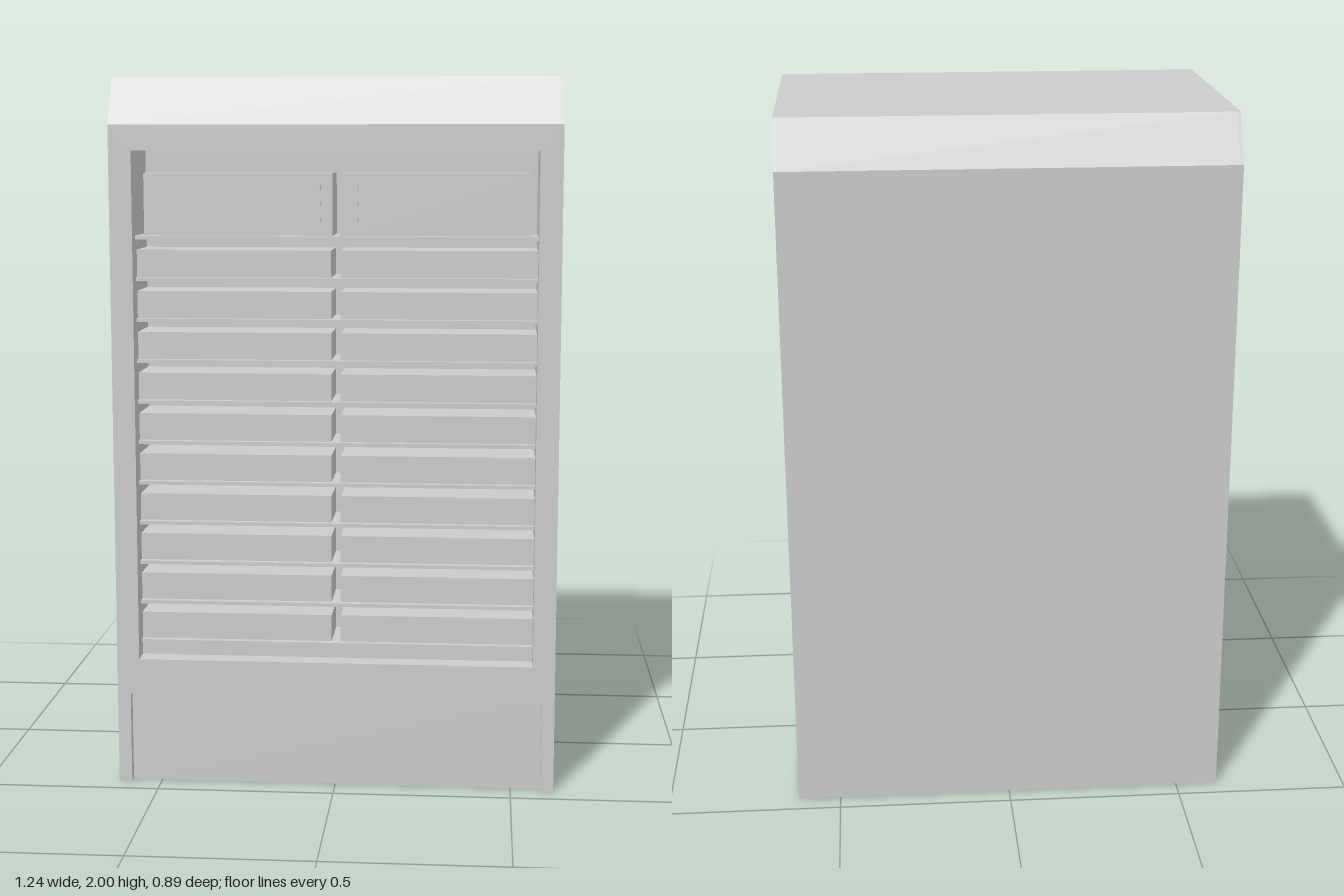
import * as THREE from 'three';

const W = 0.622, D = 0.443, T = 0.01;      // half width, half depth, sheet thickness
const OPEN_X = 0.559, OPEN_Y0 = 0.363, OPEN_Y1 = 1.8;
const mat = new THREE.MeshStandardMaterial({ color: 0xcccccc, flatShading: true });

export function createModel() {
  const model = new THREE.Group();
  model.name = 'drawerCabinet';

  const add = (name, geo, x = 0, y = 0, z = 0) => {
    const mesh = new THREE.Mesh(geo, mat);
    mesh.name = name;
    mesh.position.set(x, y, z);
    model.add(mesh);
    return mesh;
  };
  // Box given by its limits on each axis
  const box = (name, x0, x1, y0, y1, z0, z1) =>
    add(name, new THREE.BoxGeometry(x1 - x0, y1 - y0, z1 - z0),
      (x0 + x1) / 2, (y0 + y1) / 2, (z0 + z1) / 2);
  const shapeOf = (pts) => new THREE.Shape(pts.map(([a, b]) => new THREE.Vector2(a, b)));
  const extrude = (shape, depth) => new THREE.ExtrudeGeometry(shape, { depth, bevelEnabled: false });
  // Side profile in (z, y), extruded across x and centred
  const across = (pts, width) =>
    extrude(shapeOf(pts), width).translate(0, 0, -width / 2).rotateY(-Math.PI / 2);

  // Side panels with chamfered top corners
  const side = [[-D, 0], [D, 0], [D, 1.87], [0.373, 2], [-0.373, 2], [-D, 1.87]];
  for (const s of [-1, 1]) add('sidePanel', across(side, T), s * (W - T / 2));

  // Back, roof and both chamfers in one bent sheet
  add('backAndRoof', across([
    [D, 1.87], [0.373, 2], [-0.373, 2], [-D, 1.87], [-D, 0],
    [-D + T, 0], [-D + T, 1.867], [-0.367, 2 - T], [0.367, 2 - T], [D - T, 1.867],
  ], 2 * (W - T)));

  // Front frame with the drawer opening and a notch for the kick plate
  const fx = W - T, kx = 0.585, kickTop = 0.263;
  const frame = shapeOf([[-fx, 0], [-kx, 0], [-kx, kickTop], [kx, kickTop], [kx, 0],
    [fx, 0], [fx, 1.87], [-fx, 1.87]]);
  frame.holes.push(new THREE.Path([[-OPEN_X, OPEN_Y0], [-OPEN_X, OPEN_Y1], [OPEN_X, OPEN_Y1],
    [OPEN_X, OPEN_Y0]].map(([a, b]) => new THREE.Vector2(a, b))));
  add('frontFrame', extrude(frame, 0.03), 0, 0, D - 0.03);
  box('kickPlate', -kx - 0.005, kx + 0.005, 0, kickTop + 0.005, D - 0.04, D - 0.025);

  // Lining of the opening and the floor below the drawers
  const zb = D - 0.22;
  for (const s of [-1, 1]) {
    add('openingSide', new THREE.BoxGeometry(T, OPEN_Y1 - OPEN_Y0, 0.2),
      s * (OPEN_X + T / 2), (OPEN_Y0 + OPEN_Y1) / 2, D - 0.12);
  }
  box('openingTop', -OPEN_X, OPEN_X, OPEN_Y1, OPEN_Y1 + T, zb, D - 0.02);
  box('openingBack', -OPEN_X, OPEN_X, 0.41, OPEN_Y1, zb - T, zb);
  box('sill', -OPEN_X, OPEN_X, OPEN_Y0 - T, OPEN_Y0, D - 0.07, D - 0.02);
  box('sillRiser', -OPEN_X, OPEN_X, OPEN_Y0 - T, 0.401, D - 0.07, D - 0.06);
  box('floor', -W + T, W - T, 0.4, 0.41, -D + T, D - 0.06);

  // Eleven thin shelves, with a pair of drawers standing on each but the top one
  const rows = 10, y0 = 0.41, pitch = 0.1155;
  for (let i = 0; i <= rows; i++) {
    const y = y0 + i * pitch;
    box('shelf', -OPEN_X, OPEN_X, y - T, y, zb, D - 0.045);
    if (i === rows) continue;
    box('rightDrawer', -OPEN_X, -0.013, y, y + 0.076, zb, D - 0.065);
    box('leftDrawer', 0.013, OPEN_X, y, y + 0.076, zb, D - 0.065);
  }

  // Two taller compartments at the top, each with three knobs
  const top = y0 + rows * pitch;
  const knob = new THREE.CylinderGeometry(0.011, 0.011, 0.025, 8).rotateX(Math.PI / 2);
  for (const s of [-1, 1]) {
    add('topCompartment', new THREE.BoxGeometry(0.53, 1.738 - top, 0.14),
      s * 0.275, (top + 1.738) / 2, D - 0.15);
    for (const y of [1.61, 1.655, 1.7]) add('knob', knob, s * 0.052, y, D - 0.07);
  }
  return model;
}
